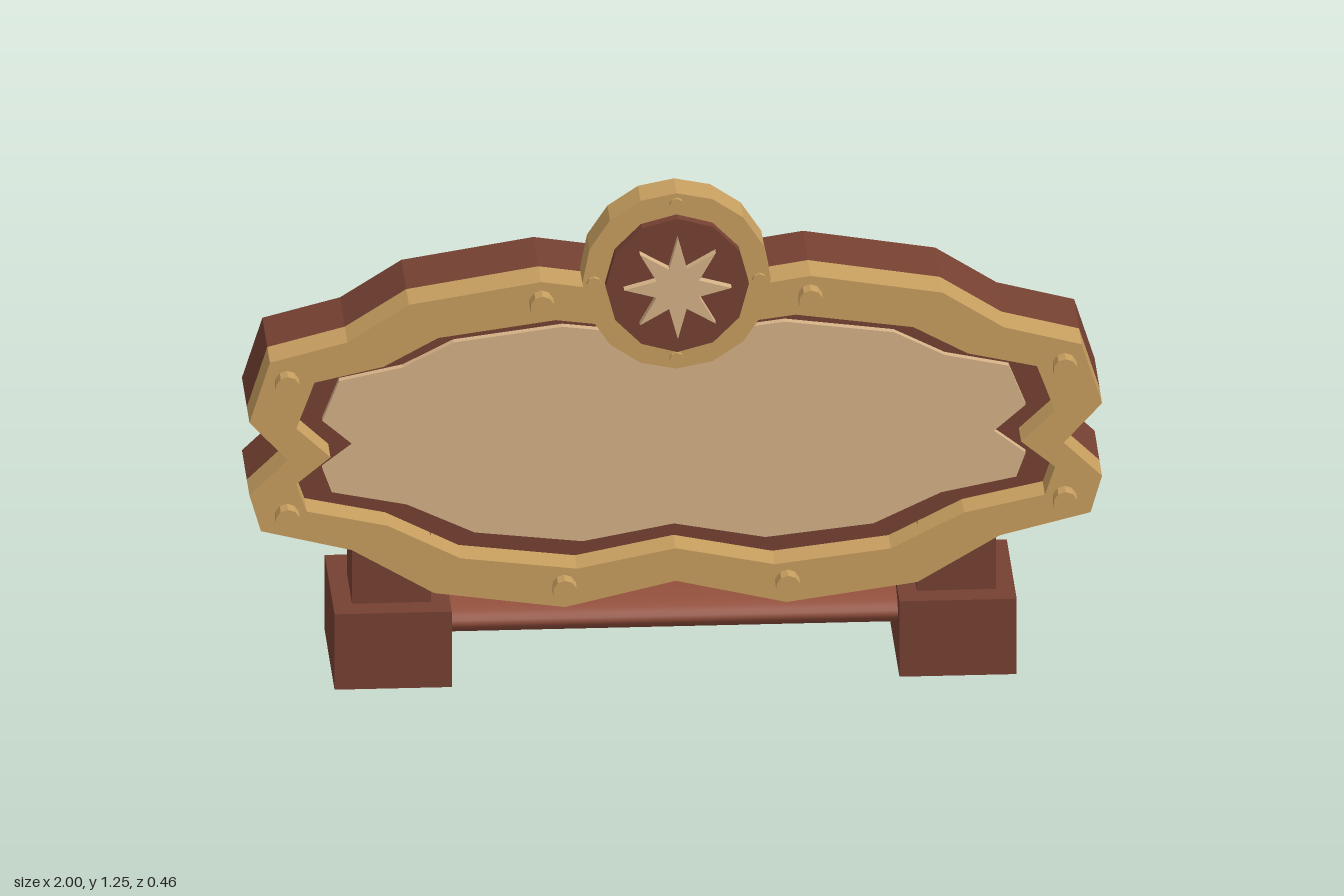
import * as THREE from 'three';

const mat = (name, color) => {
  const m = new THREE.MeshStandardMaterial({ color });
  m.name = name;
  return m;
};

export function createModel() {
  const group = new THREE.Group();
  group.name = 'signBoard';
  const wood = mat('dark wood', 0x764132);
  const rodWood = mat('red wood', 0x924f3c);
  const gold = mat('gold', 0xc89f60);
  const cream = mat('cream', 0xd6b388);

  const add = (name, geo, material, x = 0, y = 0, z = 0) => {
    const mesh = new THREE.Mesh(geo, material);
    mesh.name = name;
    mesh.position.set(x, y, z);
    group.add(mesh);
    return mesh;
  };

  // Right half of the scalloped outline, bottom centre to top centre
  const half = [
    [0, 0.257], [0.26, 0.197], [0.567, 0.24], [0.76, 0.353], [0.973, 0.406],
    [1, 0.497], [0.91, 0.583], [1, 0.68], [0.952, 0.83], [0.77, 0.877],
    [0.626, 0.968], [0.316, 1.018], [0, 0.97],
  ];
  const mirrored = half.slice(1, -1).reverse().map(([x, y]) => [-x, y]);
  const midY = 0.606;
  const outline = (sx = 1, sy = 1) => [...half, ...mirrored].map(
    ([x, y]) => new THREE.Vector2(x * sx, midY + (y - midY) * sy));
  const slab = (name, shape, z0, z1, material, y = 0) => add(name,
    new THREE.ExtrudeGeometry(shape, { depth: z1 - z0, bevelEnabled: false }), material, 0, y, z0);

  // Board, raised backing inside the frame, and the face panel
  slab('board', new THREE.Shape(outline()), -0.135, 0.05, wood);
  slab('backing', new THREE.Shape(outline(0.9, 0.78)), 0.045, 0.065, wood);
  slab('facePanel', new THREE.Shape(outline(0.825, 0.66)), 0.06, 0.085, cream);

  // Frame with a matching opening
  const frame = new THREE.Shape(outline());
  frame.holes.push(new THREE.Path(outline(0.89, 0.765)));
  slab('frame', frame, 0.05, 0.15, gold);

  // Discs facing the front
  const disc = (name, r, z0, z1, sides, material, x, y) => {
    const geo = new THREE.CylinderGeometry(r, r, z1 - z0, sides).toNonIndexed();
    geo.rotateX(Math.PI / 2);
    geo.computeVertexNormals();
    return add(name, geo, material, x, y, (z0 + z1) / 2);
  };

  // Medallion with an eight-pointed star
  const cy = 1.025;
  disc('medallionRim', 0.221, 0.085, 0.18, 16, gold, 0, cy);
  disc('medallionFace', 0.168, 0.175, 0.208, 12, wood, 0, cy);
  const star = [];
  for (let i = 0; i < 16; i++) {
    const r = i % 2 ? 0.054 : 0.126;
    const a = (i * Math.PI) / 8;
    star.push(new THREE.Vector2(r * Math.sin(a), r * Math.cos(a)));
  }
  slab('star', new THREE.Shape(star), 0.205, 0.232, cream, cy);
  for (let i = 0; i < 4; i++) {
    const a = (i * Math.PI) / 2;
    disc('medallionStud', 0.017, 0.175, 0.191, 8, gold, 0.194 * Math.sin(a), cy + 0.194 * Math.cos(a));
  }

  for (const s of [-1, 1]) {
    // Frame bolts
    for (const [x, y] of [[0.912, 0.78], [0.912, 0.445], [0.315, 0.968], [0.262, 0.25]]) {
      disc('frameBolt', 0.029, 0.145, 0.19, 10, gold, s * x, y);
    }
    // Foot block and post
    add('foot', new THREE.BoxGeometry(0.275, 0.19, 0.375), wood, s * 0.6625, 0.095, -0.0425);
    add('post', new THREE.BoxGeometry(0.185, 0.18, 0.2), wood, s * 0.6625, 0.27, -0.02);
  }

  // Flattened crossbar between the feet
  const bar = new THREE.CylinderGeometry(1, 1, 1.08, 32);
  bar.rotateZ(Math.PI / 2);
  bar.scale(1, 0.046, 0.132);
  add('crossbar', bar, rodWood, 0, 0.135, -0.043);

  return group;
}
